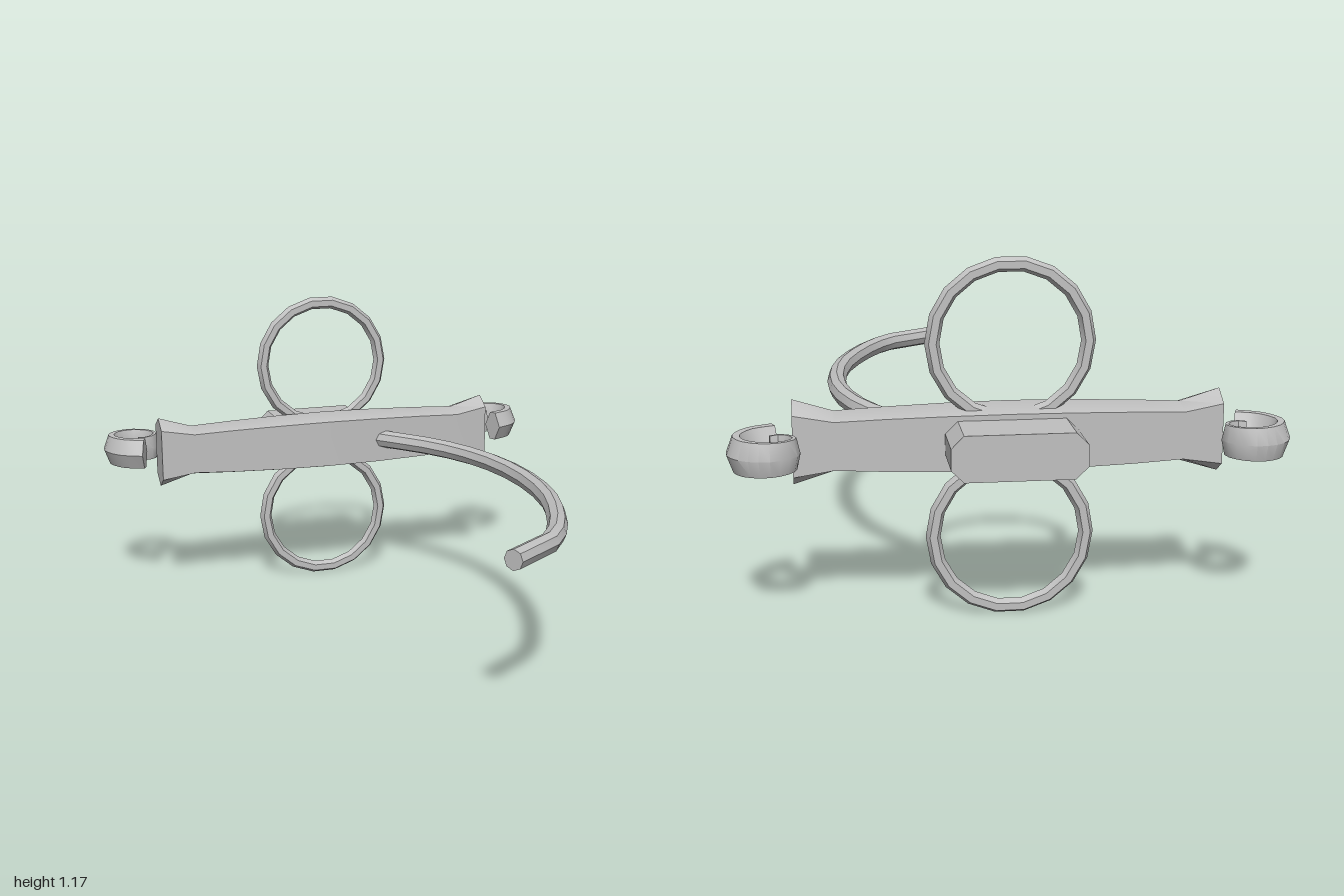
import * as THREE from 'three';
import { toCreasedNormals } from 'three/addons/utils/BufferGeometryUtils.js';

const MID_Y = 0.595;
const CREASE = 0.62;

// Sweep a convex section (side, up) along a horizontal path of [x, z] points, with end caps
function sweep(path, section) {
  const pos = [], index = [];
  const last = path.length - 1;
  const n = section(0).length;
  path.forEach(([x, z], i) => {
    const a = path[Math.max(i - 1, 0)], b = path[Math.min(i + 1, last)];
    const len = Math.hypot(b[0] - a[0], b[1] - a[1]);
    const tx = (b[0] - a[0]) / len, tz = (b[1] - a[1]) / len;
    for (const [s, u] of section(i)) pos.push(x + tz * s, MID_Y + u, z - tx * s);
  });
  for (let i = 0; i < last; i++) {
    for (let j = 0; j < n; j++) {
      const k = (j + 1) % n, p = i * n, q = p + n;
      index.push(p + j, p + k, q + k, p + j, q + k, q + j);
    }
  }
  for (let j = 1; j < n - 1; j++) {
    index.push(0, j + 1, j, last * n, last * n + j, last * n + j + 1);
  }
  const geo = new THREE.BufferGeometry();
  geo.setAttribute('position', new THREE.Float32BufferAttribute(pos, 3));
  geo.setIndex(index);
  return toCreasedNormals(geo, CREASE);
}

export function createModel() {
  const model = new THREE.Group();
  const grey = new THREE.MeshStandardMaterial({ color: 0xc0c0c0 });
  grey.name = 'grey metal';
  const add = (name, geo) => {
    const mesh = new THREE.Mesh(geo, grey);
    mesh.name = name;
    model.add(mesh);
    return mesh;
  };

  // Crossbar with ridged top and bottom: x, half depth, shoulder height, ridge height
  const half = [[0, 0.09, 0.092, 0.117], [0.2, 0.088, 0.09, 0.114], [0.4, 0.081, 0.085, 0.107],
    [0.56, 0.073, 0.078, 0.099], [0.69, 0.064, 0.1, 0.139]];
  const stations = [...half.slice(1).reverse().map(([x, ...r]) => [-x, ...r]), ...half];
  add('crossbar', sweep(stations.map(([x]) => [x, -0.73]), (i) => {
    const [, d, s, h] = stations[i];
    return [[d, -s], [d, s], [0, h], [-d, s], [-d, -s], [0, -h]];
  }));

  // Upper and lower rings
  for (const [name, y] of [['upperRing', 0.91], ['lowerRing', 0.277]]) {
    const ring = add(name, toCreasedNormals(new THREE.TorusGeometry(0.249, 0.024, 6, 18), CREASE));
    ring.position.set(0, y, -0.768);
  }

  // Chamfered block at the back
  const w = 0.213, h = 0.074, c = 0.04;
  add('backBlock', sweep([[0, -0.76], [0, -1]], () => [
    [w, -h + c], [w, h - c], [w - c, h], [-w + c, h],
    [-w, h - c], [-w, -h + c], [-w + c, -h], [w - c, -h]]));

  // Curved arm reaching forward, straight at its tip
  const arm = [[0.2, -0.69], [0.29, -0.58], [0.36, -0.49], [0.42, -0.39], [0.468, -0.28],
    [0.505, -0.15], [0.525, -0.02], [0.53, 0.12], [0.52, 0.26], [0.495, 0.4], [0.455, 0.53],
    [0.405, 0.655], [0.35, 0.76], [0.288, 0.842], [0.106, 0.968]];
  add('curvedArm', sweep(arm, () => Array.from({ length: 8 }, (_, k) => {
    const t = (k * Math.PI) / 4;
    return [0.035 * Math.cos(t), 0.036 * Math.sin(t)];
  })));

  // Tapering scrolls beyond the ends of the bar
  const spiral = [[0.749, -0.725], [0.823, -0.762], [0.862, -0.841], [0.835, -0.905], [0.77, -0.934],
    [0.712, -0.915], [0.682, -0.873], [0.696, -0.831], [0.728, -0.81], [0.759, -0.818]];
  const curve = new THREE.CatmullRomCurve3(spiral.map(([x, z]) => new THREE.Vector3(x, 0, z)));
  const steps = 20;
  const points = curve.getSpacedPoints(steps);
  for (const [name, side] of [['leftScroll', 1], ['rightScroll', -1]]) {
    add(name, sweep(points.map((p) => [p.x * side, p.z]), (i) => {
      const t = i / steps;
      const r = 0.042 - 0.031 * t, u = 0.058 - 0.012 * t * t, e = r * 0.35;
      return [[r, 0], [e, u], [-e, u], [-r, 0], [-e, -u], [e, -u]];
    }));
  }

  return model;
}
